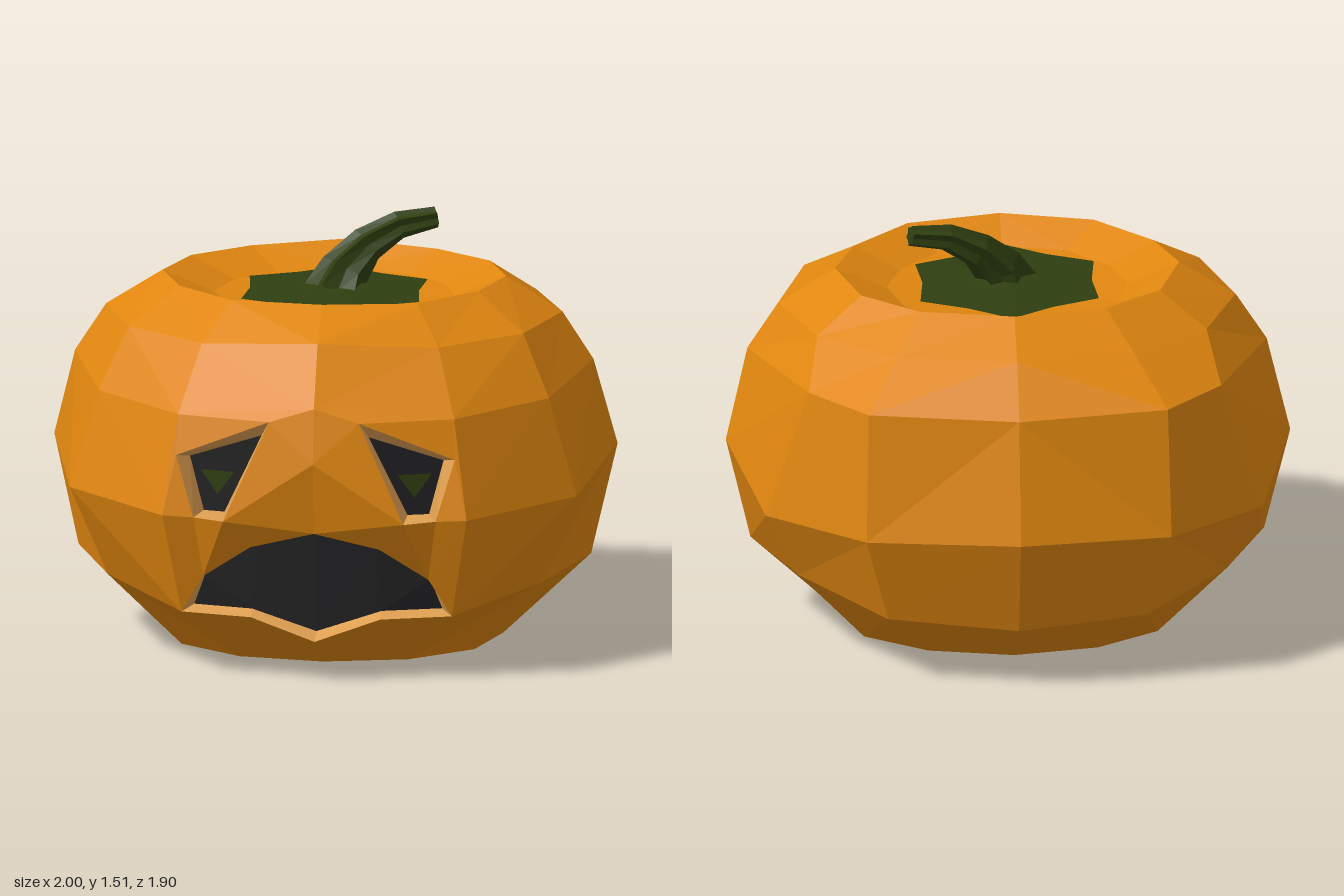
import * as THREE from 'three';

const orange = new THREE.MeshStandardMaterial({ name: 'pumpkinOrange', color: 0xe0860f });
const tan = new THREE.MeshStandardMaterial({ name: 'cutFlesh', color: 0xdf9f52 });
const black = new THREE.MeshStandardMaterial({ name: 'hollowBlack', color: 0x222224 });
const green = new THREE.MeshStandardMaterial({ name: 'stemGreen', color: 0x2f3f10 });

// Faceted mesh from a list of triangles (corners are not shared, so every face is flat)
function facets(name, tris, material) {
  const g = new THREE.BufferGeometry();
  g.setAttribute('position', new THREE.Float32BufferAttribute(tris.flat(2), 3));
  g.computeVertexNormals();
  const m = new THREE.Mesh(g, material);
  m.name = name;
  return m;
}
const quad = (a, b, c, d) => [[a, b, c], [a, c, d]];
const flip = ([x, y, z]) => [-x, y, z];
const mirrored = (tris) => [...tris, ...tris.map(([a, b, c]) => [flip(a), flip(c), flip(b)])];

// Walls that join an outer edge to a recessed inner edge
function walls(outer, inner, closed) {
  const tris = [], n = outer.length;
  for (let i = 0; i < (closed ? n : n - 1); i++) {
    const j = (i + 1) % n;
    tris.push(...quad(outer[i], outer[j], inner[j], inner[i]));
  }
  return tris;
}

// Half rings of the shell, from the back round the left side to the front
const rings = [
  [[0, 0, -.46], [.3, 0, -.4], [.52, 0, -.25], [.6, 0, .02], [.52, 0, .29], [.3, 0, .47], [0, 0, .53]],
  [[0, .23, -.82], [.46, .25, -.73], [.76, .3, -.41], [.91, .29, 0], [.77, .28, .43], [.48, .23, .78]],
  [[0, .6, -.95], [.54, .58, -.83], [.88, .55, -.47], [1, .68, -.05], [.9, .61, .5], [.54, .6, .88]],
  [[0, 1.03, -.84], [.53, 1.04, -.77], [.73, 1.04, -.54], [.92, 1, .02], [.8, .96, .48], [.49, .95, .8], [0, 1, .9]],
  [[0, 1.2, -.69], [.42, 1.18, -.57], [.69, 1.17, -.32], [.81, 1.17, .02], [.7, 1.17, .38], [.42, 1.17, .63], [0, 1.2, .74]],
  [[0, 1.3, -.5], [.33, 1.29, -.41], [.53, 1.29, -.24], [.61, 1.295, .02], [.53, 1.29, .25], [.33, 1.29, .46], [0, 1.295, .53]],
];
rings.push(rings[5].map(([x, , z]) => [x * .7, 1.22, z * .75]));

function shell() {
  const tris = [];
  for (let r = 0; r < rings.length - 1; r++) {
    const lo = rings[r], up = rings[r + 1];
    for (let k = 0; k < 6; k++) {
      if (r < 3 && k === 5) continue; // left open for the carved face
      tris.push(...quad(lo[k + 1], lo[k], up[k], up[k + 1]));
    }
  }
  for (let k = 0; k < 6; k++) {
    tris.push([[0, 0, .03], rings[0][k], rings[0][k + 1]]);
    tris.push([[0, 1.19, .02], rings[6][k + 1], rings[6][k]]);
  }
  return tris;
}

// Half of the face: eye corners, nose and mouth edge
const A = [.16, .95, .9], B = [.495, .81, .835], C = [.43, .595, .88], D = [.32, .595, .94];
const N = [0, .81, .95];
const M0 = [0, .55, .91], M1 = [.23, .49, .88], M2 = [.4, .37, .82], M3 = rings[1][5];
const L0 = [0, .15, .875], L1 = [.23, .225, .83];

function face() {
  const T = rings[3][6], R3 = rings[3][5], R2 = rings[2][5], P0 = rings[0][6], P1 = rings[0][5];
  return [
    [T, N, A], [T, A, R3], [A, B, R3], [N, D, A], [C, R2, B], [R2, R3, B],
    [M0, D, N], [M0, M1, D], [M1, M2, D], [M2, C, D], [M2, R2, C], [M2, M3, R2],
    [P0, P1, L1], [P0, L1, L0], [P1, M3, L1],
  ];
}

function createStem() {
  const points = [[.01, 1.22, .03], [.035, 1.3, 0], [.11, 1.385, -.05], [.22, 1.448, -.09], [.35, 1.47, -.13]]
    .map((p) => new THREE.Vector3(...p));
  const radii = [.12, .09, .066, .05, .038];
  const sides = 12;
  // Ribbed cross-sections square to the bend
  const sections = points.map((p, i) => {
    const t = points[Math.min(i + 1, 4)].clone().sub(points[Math.max(i - 1, 0)]).normalize();
    const u = t.clone().cross(new THREE.Vector3(0, 0, 1)).normalize();
    const v = t.clone().cross(u);
    return Array.from({ length: sides }, (_, k) => {
      const a = (k / sides) * Math.PI * 2, r = radii[i] * (k % 2 ? .72 : 1);
      return p.clone().addScaledVector(u, r * Math.cos(a)).addScaledVector(v, r * Math.sin(a)).toArray();
    });
  });
  const tris = [];
  for (let k = 0; k < sides; k++) {
    const j = (k + 1) % sides;
    for (let i = 0; i < 4; i++) {
      tris.push(...quad(sections[i][k], sections[i][j], sections[i + 1][j], sections[i + 1][k]));
    }
    tris.push([points[4].toArray(), sections[4][k], sections[4][j]]);
  }
  return facets('stem', tris, green);
}

// Six-pointed leafy cap sitting in the hollow
function createCalyx() {
  const at = (k, r, y) => {
    const a = (k / 12) * Math.PI * 2;
    return [r * Math.sin(a), y, .015 + r * Math.cos(a)];
  };
  const tris = [];
  for (let k = 0; k < 12; k++) {
    const R = (i) => (i % 2 ? .3 : .365);
    const o1 = at(k, R(k), 1.235), o2 = at(k + 1, R(k + 1), 1.235);
    const i1 = at(k, .16, 1.25), i2 = at(k + 1, .16, 1.25);
    tris.push(...quad(o1, o2, i2, i1), [i1, i2, [0, 1.27, .015]]);
    tris.push([o2, o1, [0, 1.2, .015]]);
  }
  return facets('calyx', tris, green);
}

export function createModel() {
  const model = new THREE.Group();
  model.name = 'carvedPumpkin';
  model.add(facets('shell', mirrored(shell()), orange));
  model.add(facets('carvedFace', mirrored(face()), orange));

  // Eyes: cut walls, dark backing and a small triangular pupil
  const depth = (x, y, lift = 0) => [x, y, .9 - .28 * x + lift];
  const eye = [A, D, C, B];
  const eyeBack = [depth(.19, .89), depth(.325, .602), depth(.4, .602), depth(.45, .795)];
  const pupil = [depth(.29, .75, .006), depth(.35, .665, .006), depth(.41, .75, .006)];
  model.add(facets('eyeWalls', mirrored(walls(eye, eyeBack, true)), tan));
  model.add(facets('eyeBacking', mirrored(quad(...eyeBack)), black));
  model.add(facets('pupils', mirrored([pupil]), green));

  // Mouth: cut walls and dark backing
  const mouth = [L0, L1, M3, M2, M1, M0];
  const back = [[0, .17, .79], [.23, .243, .77], [.44, .243, .71], [.4, .355, .74], [.22, .478, .78], [0, .537, .8]];
  const [l0, l1, m3, m2, m1, m0] = back;
  model.add(facets('mouthWalls', mirrored(walls(mouth, back, false)), tan));
  model.add(facets('mouthBacking', mirrored([[l0, l1, m1], [l0, m1, m0], [l1, m3, m2], [l1, m2, m1]]), black));

  model.add(createCalyx(), createStem());
  return model;
}
